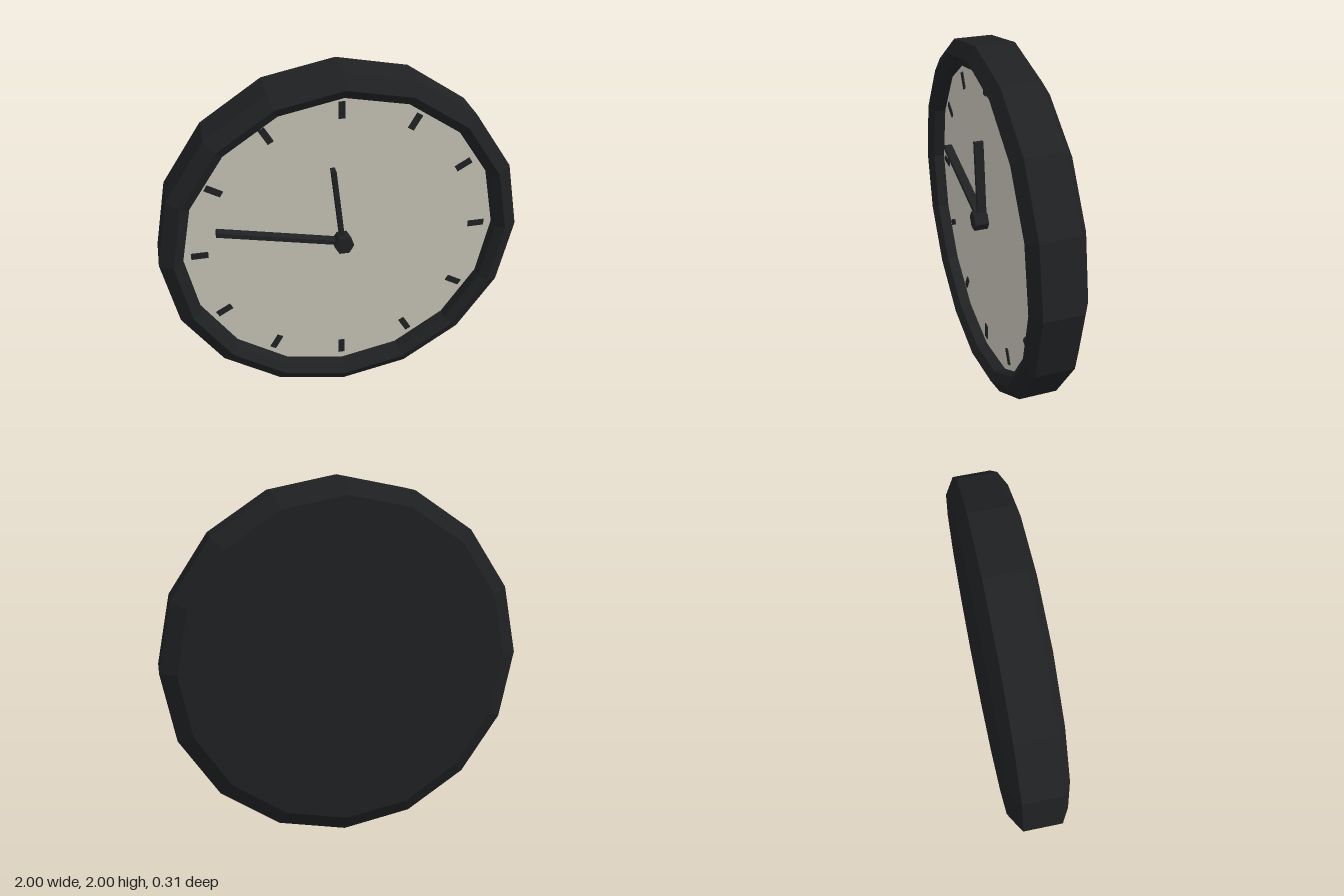
import * as THREE from 'three';

const FACE_Z = 0.06;

export function createModel() {
  const clock = new THREE.Group();
  clock.name = 'wallClock';
  const dial = new THREE.Group();
  dial.name = 'clockBody';
  dial.position.y = 1;
  clock.add(dial);

  const dark = new THREE.MeshStandardMaterial({ color: 0x1f2123, flatShading: true });
  const cream = new THREE.MeshStandardMaterial({ color: 0xc8c5b8, flatShading: true });

  const add = (name, geometry, material, parent = dial) => {
    const mesh = new THREE.Mesh(geometry, material);
    mesh.name = name;
    parent.add(mesh);
    return mesh;
  };

  // Sixteen-sided case: closed back, bevelled rim and recessed inner lip
  const profile = [
    [0, -0.155], [0.91, -0.155], [1, -0.1], [1, 0.11],
    [0.925, 0.155], [0.875, 0.125], [0.875, FACE_Z - 0.01],
  ].map(([r, z]) => new THREE.Vector2(r, z));
  add('case', new THREE.LatheGeometry(profile, 16).rotateX(Math.PI / 2), dark);

  // Face plate
  add('face', new THREE.CircleGeometry(0.876, 16), cream).position.z = FACE_Z;

  // A bar on the face running outward from radius r0 to r1, angle clockwise from twelve
  const radialBar = (name, r0, r1, width, depth, angle, parent) => {
    const bar = new THREE.BoxGeometry(width, r1 - r0, depth);
    bar.translate(0, (r0 + r1) / 2, FACE_Z + depth / 2);
    add(name, bar, dark, parent).rotation.z = -angle;
  };

  // Hour marks
  const marks = new THREE.Group();
  marks.name = 'hourMarks';
  dial.add(marks);
  for (let i = 0; i < 12; i++) {
    radialBar('hourMark' + (i + 1), 0.735, 0.828, 0.036, 0.006, ((i + 1) * Math.PI) / 6, marks);
  }

  // Hands and hexagonal hub
  radialBar('hourHand', 0, 0.457, 0.025, 0.05, Math.atan2(-0.05, 0.455));
  radialBar('minuteHand', 0, 0.7, 0.025, 0.05, Math.atan2(-0.683, 0.147));
  const hub = new THREE.CylinderGeometry(0.055, 0.055, 0.08, 6);
  hub.rotateY(Math.PI / 6).rotateX(Math.PI / 2);
  add('hub', hub, dark).position.z = FACE_Z + 0.038;

  return clock;
}
